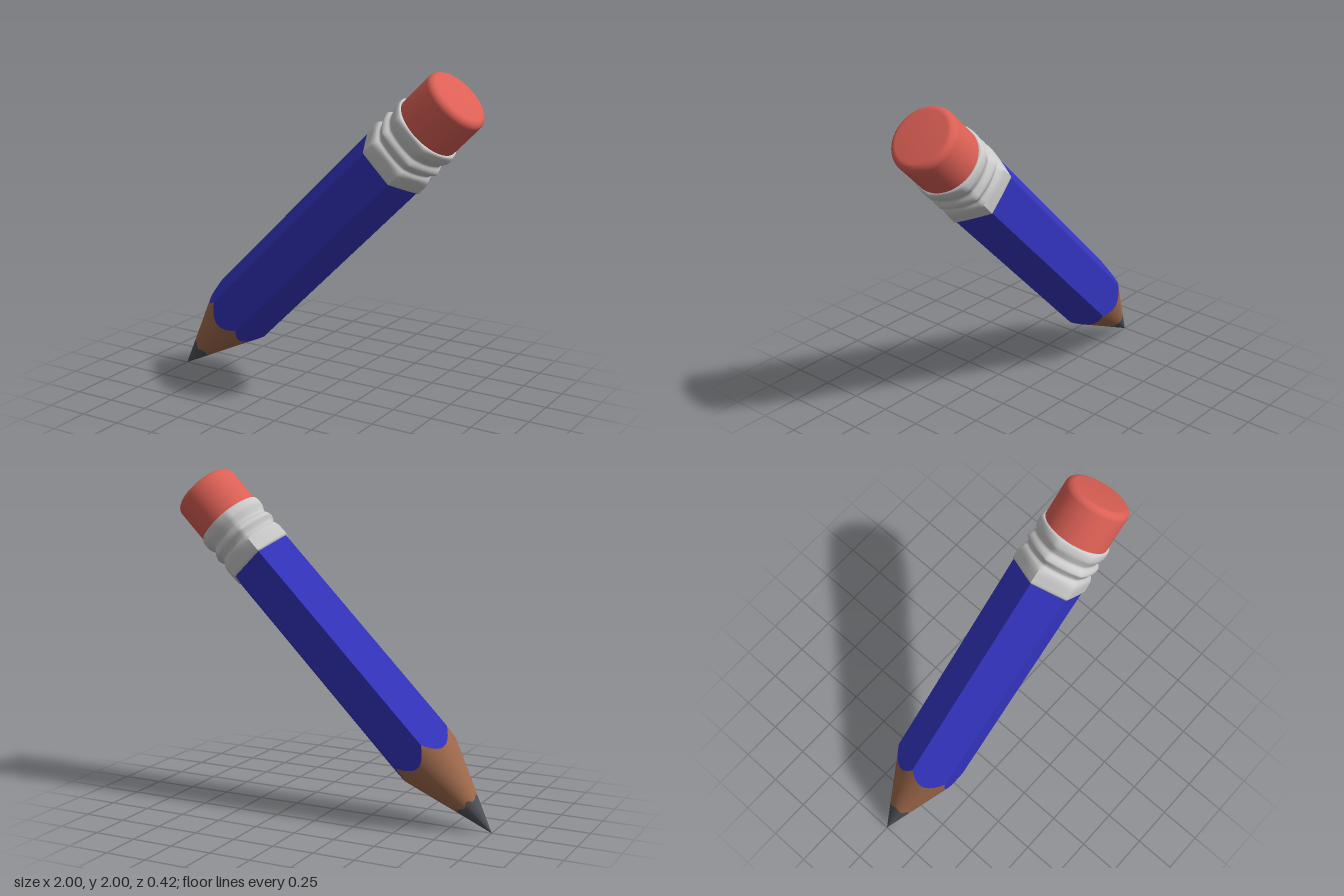
import * as THREE from 'three';
import { toCreasedNormals } from 'three/addons/utils/BufferGeometryUtils.js';

const SIDES = 72;            // points around each ring, a multiple of 6
const CORNER = 0.22;         // hexagon radius at its corners
const SLOPE = CORNER / 0.62; // sharpened cone: radius per unit of length

// Hexagon radius at an angle, 1 at the corners
function hex(angle) {
  const sector = Math.PI / 3;
  const a = ((angle % sector) + sector) % sector - sector / 2;
  return Math.cos(sector / 2) / Math.cos(a);
}

// Skin between rings; each ring is a function: angle -> [radius, height]
function loft(name, color, rings, crease = 0.6) {
  const positions = [];
  const index = [];
  const row = SIDES + 1;
  rings.forEach((ring, j) => {
    for (let i = 0; i <= SIDES; i++) {
      const angle = ((i % SIDES) / SIDES) * Math.PI * 2;
      const [r, h] = ring(angle);
      positions.push(r * Math.cos(angle), h, r * Math.sin(angle));
      if (j > 0 && i < SIDES) {
        const a = (j - 1) * row + i;
        const c = a + row;
        index.push(a, c, a + 1, a + 1, c, c + 1);
      }
    }
  });
  let geometry = new THREE.BufferGeometry();
  geometry.setAttribute('position', new THREE.Float32BufferAttribute(positions, 3));
  geometry.setIndex(index);
  // Enlarged while creasing so that close points stay distinct
  geometry.scale(100, 100, 100);
  geometry = toCreasedNormals(geometry, crease);
  geometry.scale(0.01, 0.01, 0.01);
  const mesh = new THREE.Mesh(geometry, new THREE.MeshStandardMaterial({ color }));
  mesh.name = name;
  return mesh;
}

export function createModel() {
  const pencil = new THREE.Group();
  pencil.name = 'pencil';

  // Sharpened end: lead with a wavy edge, then wood up to the scalloped paint
  const tip = () => [0.0003, 0];
  const leadEdge = (a) => {
    const h = 0.212 + 0.01 * Math.cos(6 * a);
    return [h * SLOPE, h];
  };
  const paintEdge = (a) => {
    const r = CORNER * hex(a);
    return [r, r / SLOPE];
  };
  pencil.add(loft('lead', 0x50525a, [tip, leadEdge]));
  pencil.add(loft('wood', 0xa06a4c, [leadEdge, paintEdge]));

  // Painted hexagonal barrel
  pencil.add(loft('barrel', 0x3434c0, [paintEdge, (a) => [CORNER * hex(a), 2.1]]));

  // Ribbed metal ferrule: [height, radius at flats, radius at corners]
  const profile = [
    [2.08, 0.19, 0.219], [2.088, 0.2, 0.228], [2.125, 0.203, 0.229], [2.165, 0.204, 0.226],
    [2.187, 0.2, 0.217], [2.208, 0.187, 0.2], [2.228, 0.195, 0.208], [2.25, 0.207, 0.224],
    [2.27, 0.203, 0.217], [2.294, 0.188, 0.198], [2.318, 0.196, 0.206], [2.345, 0.207, 0.219],
    [2.375, 0.209, 0.219], [2.394, 0.205, 0.211], [2.4, 0.192, 0.193],
  ].map((p) => new THREE.Vector3(...p));
  const flat = Math.cos(Math.PI / 6);
  const ferruleRings = new THREE.CatmullRomCurve3(profile).getPoints(56).map((p) => (a) => [
    p.y + (p.z - p.y) * (hex(a) - flat) / (1 - flat), p.x,
  ]);
  pencil.add(loft('ferrule', 0xcccccc, ferruleRings, 0.7));

  // Round eraser with a softened rim
  const eraserRings = [() => [0.197, 2.37]];
  for (let i = 0; i <= 8; i++) {
    const t = (i / 8) * Math.PI / 2;
    eraserRings.push(() => [0.155 + 0.042 * Math.cos(t), 2.615 + 0.042 * Math.sin(t)]);
  }
  eraserRings.push(() => [0.0003, 2.658]);
  pencil.add(loft('eraser', 0xdc6055, eraserRings));

  // Lean the pencil diagonally, standing on its point
  pencil.rotation.z = -Math.PI / 4;
  pencil.position.x = -1;
  const model = new THREE.Group();
  model.name = 'leaningPencil';
  model.add(pencil);
  return model;
}
